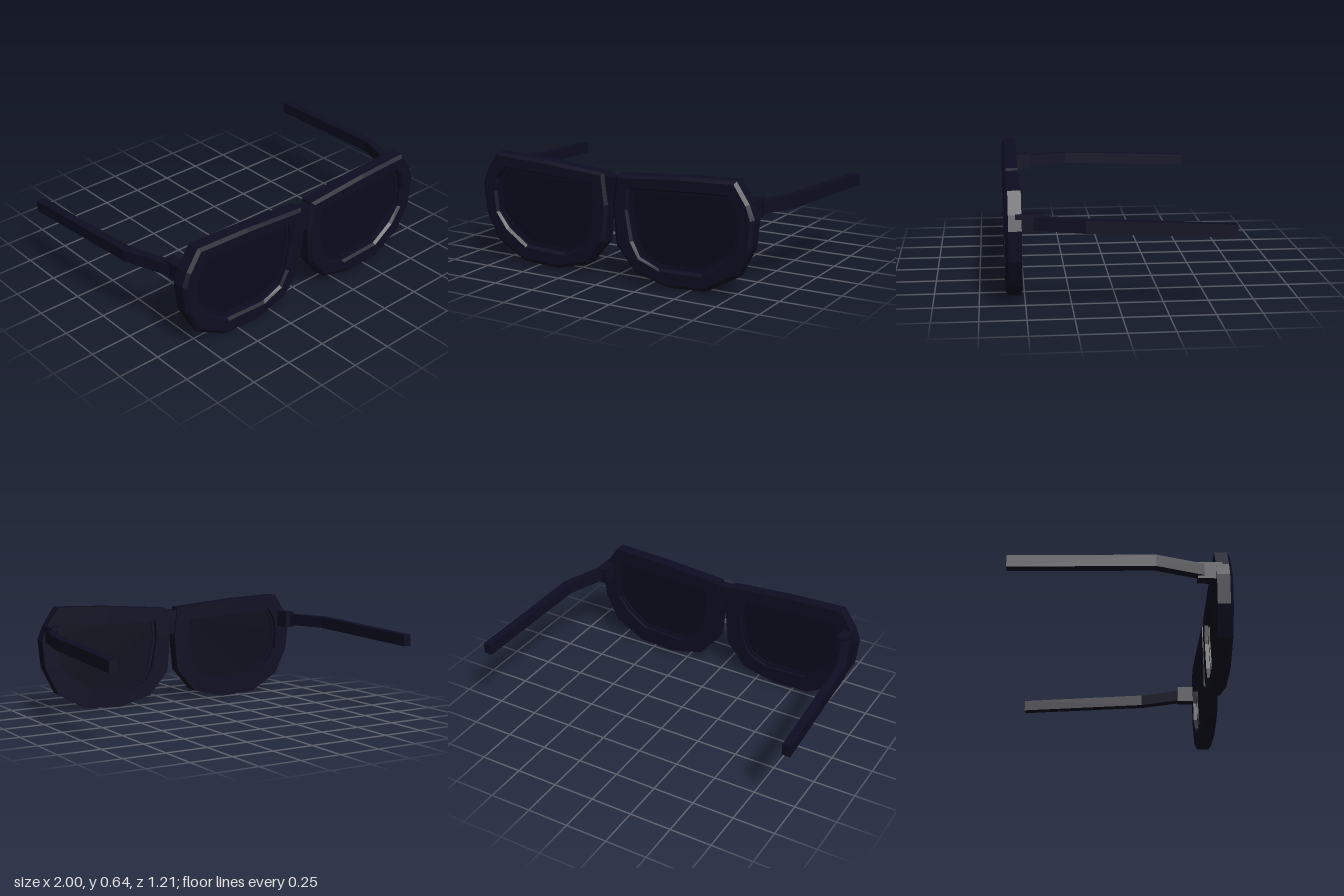
import * as THREE from 'three';

const frameMat = new THREE.MeshStandardMaterial({ color: 0x0d0d22, flatShading: true });
frameMat.name = 'frame navy';
const lensMat = new THREE.MeshStandardMaterial({ color: 0x0b0b1c, flatShading: true });
lensMat.name = 'lens navy';

// Outer and inner outline of one rim, clockwise seen from the front
const OUTER = [[0.04, 0.6], [0.445, 0.632], [0.78, 0.645], [0.857, 0.53], [0.888, 0.45], [0.87, 0.28],
  [0.79, 0.12], [0.605, 0.015], [0.375, 0.002], [0.16, 0.056], [0.037, 0.2], [0.016, 0.42]];
const INNER = [[0.12, 0.527], [0.44, 0.545], [0.73, 0.556], [0.775, 0.49], [0.79, 0.41], [0.78, 0.29],
  [0.71, 0.2], [0.58, 0.11], [0.31, 0.1], [0.19, 0.15], [0.145, 0.235], [0.112, 0.41]];

// Joins rings of points with quads; side = -1 mirrors the result in x
function loft(rings, side, capped) {
  const pos = [];
  const tri = (a, b, c) => {
    for (const p of side > 0 ? [a, b, c] : [a, c, b]) pos.push(p[0] * side, p[1], p[2]);
  };
  for (let k = 0; k < rings.length - 1; k++) {
    const r = rings[k], s = rings[k + 1], n = r.length;
    for (let i = 0; i < n; i++) {
      const j = (i + 1) % n;
      tri(r[i], s[i], r[j]);
      tri(r[j], s[i], s[j]);
    }
  }
  if (capped) {
    const first = rings[0], last = rings[rings.length - 1];
    for (let i = 1; i < first.length - 1; i++) {
      tri(first[0], first[i], first[i + 1]);
      tri(last[0], last[i + 1], last[i]);
    }
  }
  const geo = new THREE.BufferGeometry();
  geo.setAttribute('position', new THREE.Float32BufferAttribute(pos, 3));
  geo.computeVertexNormals();
  return geo;
}

// Outline a share t of the way from the outer to the inner edge, at depth z
const rimRing = (t, z) => OUTER.map(([x, y], i) =>
  [x + (INNER[i][0] - x) * t, y + (INNER[i][1] - y) * t, z]);

// Upright rectangle across an arm: centre, half width and half height
const armRing = ([x, y, z, w, h, skew]) => [
  [x - w, y + h, z - skew], [x + w, y + h, z + skew],
  [x + w, y - h, z + skew], [x - w, y - h, z - skew]];

function addMesh(group, name, geo, mat) {
  const mesh = new THREE.Mesh(geo, mat);
  mesh.name = name;
  group.add(mesh);
  return mesh;
}

function addBox(group, name, size, at) {
  addMesh(group, name, new THREE.BoxGeometry(...size), frameMat).position.set(...at);
}

export function createModel() {
  const model = new THREE.Group();
  model.name = 'sunglasses';

  for (const side of [1, -1]) {
    const label = side > 0 ? 'left' : 'right';

    // Rim: bevelled outer front edge, stepped inner edge
    const rim = [[0, 0.517], [0, 0.588], [0.2, 0.605], [0.88, 0.605], [1, 0.588], [1, 0.517], [0, 0.517]]
      .map(([t, z]) => rimRing(t, z));
    addMesh(model, label + 'Rim', loft(rim, side, false), frameMat);

    // Lens, recessed from both faces, with a narrow raised seat around it
    const seat = [[0.98, 0.54], [0.98, 0.57], [1.18, 0.57], [1.18, 0.54], [0.98, 0.54]]
      .map(([t, z]) => rimRing(t, z));
    addMesh(model, label + 'LensSeat', loft(seat, side, false), frameMat);
    const lens = [rimRing(1.02, 0.548), rimRing(1.02, 0.562)];
    addMesh(model, label + 'Lens', loft(lens, side, true), lensMat);

    // Hinge block
    addBox(model, label + 'Hinge', [0.062, 0.1, 0.135], [0.835 * side, 0.485, 0.483]);

    // Arm, from the tip through the elbow to the hinge
    const arm = [
      [0.975, 0.453, -0.605, 0.025, 0.034, 0],
      [0.941, 0.485, 0.185, 0.025, 0.035, 0.004],
      [0.85, 0.485, 0.445, 0.024, 0.035, 0.008]].map(armRing);
    addMesh(model, label + 'Arm', loft(arm, side, true), frameMat);
  }

  // Bridge
  addBox(model, 'bridge', [0.23, 0.15, 0.062], [0, 0.509, 0.558]);
  return model;
}
